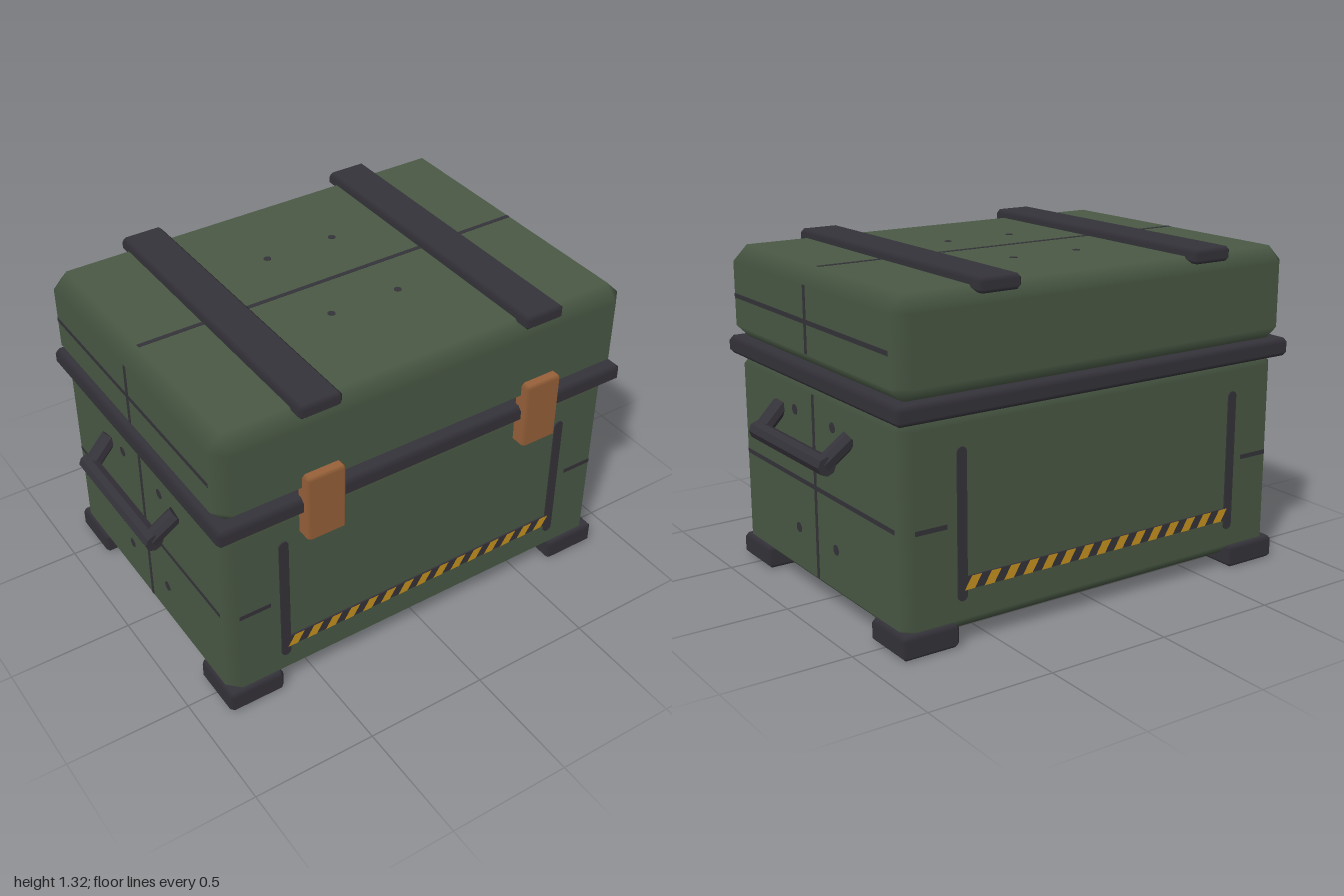
import * as THREE from 'three';

const mat = (name, color) => {
  const m = new THREE.MeshStandardMaterial({ color });
  m.name = name;
  return m;
};

// Box with a single chamfer on every edge; normals blend across the chamfers only.
function chamferBox(w, h, d, c) {
  const half = [w / 2, h / 2, d / 2], pos = [], nor = [], idx = [];
  const id = (axis, s) => axis * 8 + (s[0] > 0 ? 4 : 0) + (s[1] > 0 ? 2 : 0) + (s[2] > 0 ? 1 : 0);
  for (let a = 0; a < 3; a++)
    for (let k = 0; k < 8; k++) {
      const s = [k & 4 ? 1 : -1, k & 2 ? 1 : -1, k & 1 ? 1 : -1];
      for (let i = 0; i < 3; i++) {
        pos.push(s[i] * (half[i] - (i === a ? 0 : c)));
        nor.push(i === a ? s[i] : 0);
      }
    }
  const v = i => new THREE.Vector3().fromArray(pos, i * 3);
  const tri = (p, q, r) => {
    const n = v(q).sub(v(p)).cross(v(r).sub(v(p)));
    if (n.dot(v(p)) > 0) idx.push(p, q, r); else idx.push(p, r, q);
  };
  const quad = (p, q, r, s) => { tri(p, q, r); tri(p, r, s); };
  const sgn = [-1, 1];
  for (let a = 0; a < 3; a++) {
    const b = (a + 1) % 3, e = (a + 2) % 3;
    const at = (axis, sa, sb, se) => {
      const s = [];
      s[a] = sa; s[b] = sb; s[e] = se;
      return id(axis, s);
    };
    // flat faces across axis a
    for (const s of sgn) quad(at(a, s, -1, -1), at(a, s, 1, -1), at(a, s, 1, 1), at(a, s, -1, 1));
    // chamfers that run along axis e
    for (const s of sgn) for (const t of sgn)
      quad(at(a, s, t, -1), at(a, s, t, 1), at(b, s, t, 1), at(b, s, t, -1));
  }
  for (let k = 0; k < 8; k++) tri(k, 8 + k, 16 + k);
  const g = new THREE.BufferGeometry();
  g.setAttribute('position', new THREE.Float32BufferAttribute(pos, 3));
  g.setAttribute('normal', new THREE.Float32BufferAttribute(nor, 3));
  g.setIndex(idx);
  return g;
}

// Faceted eight-sided bar between two points
function barBetween(a, b, r) {
  const dir = b.clone().sub(a);
  const g = new THREE.CylinderGeometry(r, r, dir.length(), 8).toNonIndexed();
  g.applyQuaternion(new THREE.Quaternion().setFromUnitVectors(new THREE.Vector3(0, 1, 0), dir.normalize()));
  g.translate((a.x + b.x) / 2, (a.y + b.y) / 2, (a.z + b.z) / 2);
  g.computeVertexNormals();
  return g;
}

export function createModel() {
  const green = mat('olive green paint', 0x4a5945);
  const dark = mat('dark rubber', 0x35333a);
  const copper = mat('copper latch', 0x98623a);
  const yellow = mat('hazard yellow', 0xc8941f);

  const root = new THREE.Group();
  root.name = 'storageCrate';
  const crate = new THREE.Group();
  crate.name = 'crate';
  crate.position.z = -0.014;
  root.add(crate);

  const add = (parent, name, geo, m, x = 0, y = 0, z = 0) => {
    const mesh = new THREE.Mesh(geo, m);
    mesh.name = name;
    mesh.position.set(x, y, z);
    parent.add(mesh);
    return mesh;
  };

  // Main shells
  add(crate, 'body', chamferBox(1.74, 0.82, 1.254, 0.05), green, 0, 0.46, 0);
  add(crate, 'lid', chamferBox(1.78, 0.375, 1.3, 0.06), green, 0, 1.1025, 0);
  add(crate, 'rimTrim', chamferBox(1.8, 0.072, 1.32, 0.018), dark, 0, 0.888, 0);

  // Feet
  for (const sx of [-1, 1]) for (const sz of [-1, 1])
    add(crate, 'foot', chamferBox(0.235, 0.09, 0.235, 0.015), dark, sx * 0.763, 0.045, sz * 0.523);

  // Lid straps and front latches
  for (const sx of [-1, 1]) {
    add(crate, 'strap', chamferBox(0.174, 0.056, 1.316, 0.015), dark, sx * 0.48, 1.293, 0);
    add(crate, 'latch', chamferBox(0.16, 0.285, 0.075, 0.012), copper, sx * 0.48, 0.888, 0.6515);
  }

  // Panel markings, same on front and back
  const barShape = new THREE.Shape();
  barShape.absarc(0, 0.265, 0.02, 0, Math.PI);
  barShape.absarc(0, -0.265, 0.02, Math.PI, Math.PI * 2);
  const barGeo = new THREE.ExtrudeGeometry(barShape, { depth: 0.008, bevelEnabled: false, curveSegments: 6 });
  const slash = new THREE.Shape();
  slash.moveTo(-0.037, -0.025);
  slash.lineTo(0.006, -0.025);
  slash.lineTo(0.037, 0.025);
  slash.lineTo(-0.006, 0.025);
  const slashGeo = new THREE.ShapeGeometry(slash);
  for (const turn of [0, Math.PI]) {
    const panel = new THREE.Group();
    panel.name = turn ? 'backMarkings' : 'frontMarkings';
    panel.rotation.y = turn;
    crate.add(panel);
    for (const sx of [-1, 1]) {
      add(panel, 'panelBar', barGeo, dark, sx * 0.63, 0.455, 0.624);
      add(panel, 'sideSeam', new THREE.BoxGeometry(0.13, 0.018, 0.004), dark, sx * 0.755, 0.46, 0.627);
    }
    add(panel, 'hazardBacking', new THREE.BoxGeometry(1.24, 0.05, 0.008), dark, 0, 0.235, 0.629);
    for (let i = 0; i < 15; i++)
      add(panel, 'hazardStripe', slashGeo, yellow, -0.588 + i * 0.0838, 0.235, 0.635);
  }

  // Ends: seams, rivets and carrying handle
  const V = (x, y, z) => new THREE.Vector3(x, y, z);
  const rivet = new THREE.CylinderGeometry(0.02, 0.02, 0.004, 12);
  for (const turn of [0, Math.PI]) {
    const end = new THREE.Group();
    end.name = turn ? 'rightEnd' : 'leftEnd';
    end.rotation.y = turn;
    crate.add(end);
    add(end, 'bodySeamLevel', new THREE.BoxGeometry(0.003, 0.018, 1.15), dark, 0.87, 0.46, 0);
    add(end, 'bodySeamUpright', new THREE.BoxGeometry(0.003, 0.72, 0.018), dark, 0.87, 0.46, 0);
    add(end, 'lidSeamLevel', new THREE.BoxGeometry(0.003, 0.018, 1.18), dark, 0.89, 1.095, 0);
    add(end, 'lidSeamUpright', new THREE.BoxGeometry(0.003, 0.255, 0.018), dark, 0.89, 1.1025, 0);
    for (const z of [-0.147, 0.147]) for (const y of [0.26, 0.73])
      add(end, 'rivet', rivet, dark, 0.87, y, z).rotation.z = Math.PI / 2;
    add(end, 'handleGrip', barBetween(V(0.965, 0.635, -0.28), V(0.965, 0.635, 0.28), 0.036), dark);
    for (const s of [-1, 1])
      add(end, 'handleArm', barBetween(V(0.865, 0.722, s * 0.27), V(0.965, 0.635, s * 0.25), 0.034), dark);
  }

  // Lid top seam and rivets
  add(crate, 'topSeam', new THREE.BoxGeometry(1.66, 0.003, 0.018), dark, 0, 1.29, 0);
  for (const x of [-0.147, 0.147]) for (const z of [-0.25, 0.2])
    add(crate, 'topRivet', new THREE.CylinderGeometry(0.015, 0.015, 0.004, 10), dark, x, 1.29, z);

  return root;
}
